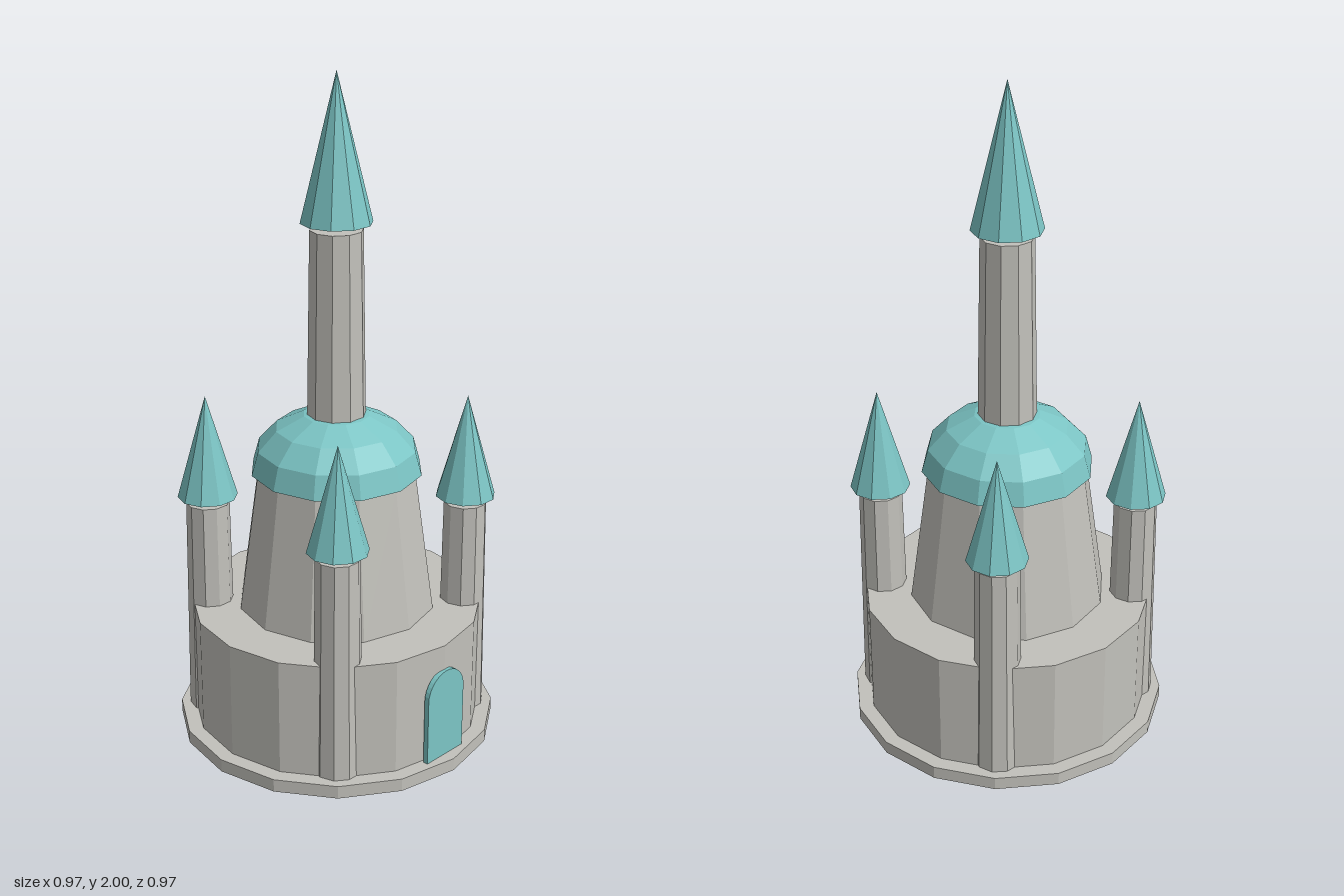
import * as THREE from 'three';

export function createModel() {
  const castle = new THREE.Group();
  castle.name = 'castle';

  const stone = new THREE.MeshStandardMaterial({ color: 0xc2c1bb, flatShading: true });
  stone.name = 'pale stone';
  const teal = new THREE.MeshStandardMaterial({ color: 0x7cc5c5, flatShading: true });
  teal.name = 'teal';

  function add(name, geometry, material, parent = castle) {
    const mesh = new THREE.Mesh(geometry, material);
    mesh.name = name;
    parent.add(mesh);
    return mesh;
  }

  // Faceted column or cone between two heights, with a corner on the x axis
  function column(rTop, rBottom, y0, y1, sides) {
    return new THREE.CylinderGeometry(rTop, rBottom, y1 - y0, sides)
      .rotateY(Math.PI / 2)
      .translate(0, (y0 + y1) / 2, 0);
  }

  // Plinth, round curtain wall and tapered keep
  add('plinth', column(0.485, 0.485, 0, 0.04, 16), stone);
  add('curtainWall', column(0.44, 0.44, 0.04, 0.4, 16), stone);
  add('keep', column(0.24, 0.3, 0.4, 0.83, 12), stone);

  // Squashed half-sphere dome, closed underneath
  const profile = [new THREE.Vector2(0, 0.83)];
  for (let i = 0; i <= 4; i++) {
    const a = (i / 4) * Math.PI / 2;
    profile.push(new THREE.Vector2(i === 4 ? 0 : 0.258 * Math.cos(a), 0.83 + 0.185 * Math.sin(a)));
  }
  add('dome', new THREE.LatheGeometry(profile, 12), teal);

  // Central spire, its roof hovering just above
  add('spire', column(0.078, 0.088, 0.95, 1.555, 10), stone);
  add('spireRoof', column(0, 0.105, 1.575, 2, 10), teal);

  // Four corner turrets
  for (const x of [-1, 1]) {
    for (const z of [-1, 1]) {
      const turret = new THREE.Group();
      turret.name = (z > 0 ? 'front' : 'back') + (x > 0 ? 'Left' : 'Right') + 'Turret';
      turret.position.set(x * 0.272, 0, z * 0.272);
      add('turretShaft', column(0.065, 0.073, 0.04, 0.72, 10), stone, turret);
      add('turretRoof', column(0, 0.09, 0.74, 1.055, 10), teal, turret);
      castle.add(turret);
    }
  }

  // Arched door
  const arch = new THREE.Shape();
  arch.moveTo(-0.077, 0.04);
  arch.lineTo(0.077, 0.04);
  arch.lineTo(0.077, 0.245);
  arch.absarc(0, 0.245, 0.077, 0, Math.PI, false);
  arch.closePath();
  const door = new THREE.ExtrudeGeometry(arch, { depth: 0.016, bevelEnabled: false, curveSegments: 8 });
  add('door', door.translate(0, 0, 0.433), teal);

  return castle;
}
